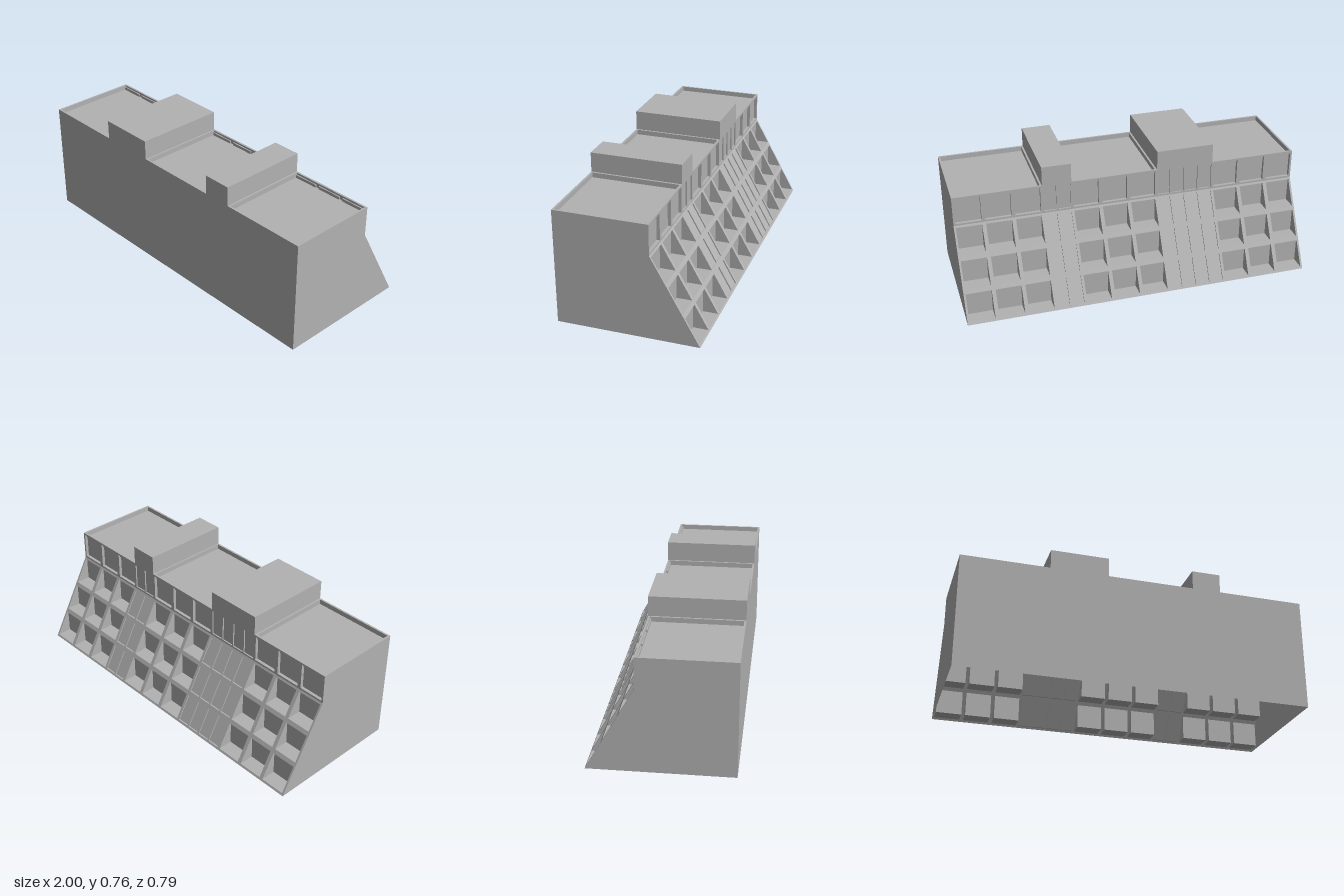
import * as THREE from 'three';

const BAY = 1 / 6;            // bay width
const FRONT = 0.395, BACK = -0.127, FOOT = -0.395;
const KNEE = 0.48, ROOF = 0.653, TOP = 0.765;
const concrete = new THREE.MeshStandardMaterial({ color: 0xb2b2b2, side: THREE.DoubleSide });
concrete.name = 'concrete grey';

// z of the rear face at height y
const rearZ = (y) => (y >= KNEE ? BACK : FOOT + (BACK - FOOT) * y / KNEE);

// Collects quads (counter-clockwise from outside) into one flat-faced mesh
class Sheets {
  constructor() { this.p = []; }
  quad(a, b, c, d) { this.p.push(...a, ...b, ...c, ...a, ...c, ...d); }
  ring(outer, inner) {
    for (let i = 0; i < 4; i++) {
      const j = (i + 1) % 4;
      this.quad(outer[i], outer[j], inner[j], inner[i]);
    }
  }
  // framed recess: frame, reveal and back panel
  recess(outer, opening, back) {
    this.ring(outer, opening);
    this.ring(opening, back);
    this.quad(...back);
  }
  mesh(name) {
    const g = new THREE.BufferGeometry();
    g.setAttribute('position', new THREE.Float32BufferAttribute(this.p, 3));
    g.computeVertexNormals();
    const m = new THREE.Mesh(g, concrete);
    m.name = name;
    return m;
  }
}

const rearLoop = (x0, x1, y0, y1, z0 = rearZ(y0), z1 = rearZ(y1)) =>
  [[x1, y0, z0], [x0, y0, z0], [x0, y1, z1], [x1, y1, z1]];
const roofLoop = (x0, x1, z0, z1, y) =>
  [[x0, y, z1], [x1, y, z1], [x1, y, z0], [x0, y, z0]];

// One recess of the rear facade; deep ones are balconies with level floors
function rearCell(sheets, x0, x1, y0, y1, margin, depth, deep) {
  const a = x0 + margin, b = x1 - margin, c = y0 + 0.011, d = y1 - 0.011;
  const backTop = rearZ(d) + depth;
  const backBottom = deep ? backTop : rearZ(c) + depth;
  sheets.recess(rearLoop(x0, x1, y0, y1), rearLoop(a, b, c, d),
    rearLoop(a, b, c, d, backBottom, backTop));
}

export function createModel() {
  const group = new THREE.Group();
  const sections = [
    { bays: 3 }, { bays: 2, tower: true }, { bays: 3 }, { bays: 1, tower: true }, { bays: 3 },
  ];
  const levels = [0, KNEE / 3, KNEE * 2 / 3, KNEE, ROOF];

  const balconies = new Sheets(), windows = new Sheets(), panels = new Sheets();
  const roofs = new Sheets(), towers = new Sheets();
  const skyline = [];
  let x = -1;
  for (const { bays, tower } of sections) {
    const x0 = x, x1 = x + bays * BAY;
    const columns = tower ? bays * 2 : bays;
    const w = (x1 - x0) / columns;
    // rear facade grid
    for (let r = 0; r < 4; r++) {
      for (let i = 0; i < columns; i++) {
        const a = x0 + i * w;
        if (tower) rearCell(panels, a, a + w, levels[r], levels[r + 1], 0.005, 0.008, false);
        else if (r < 3) rearCell(balconies, a, a + w, levels[r], levels[r + 1], 0.011, 0.008, true);
        else rearCell(windows, a, a + w, levels[r], levels[r + 1], 0.011, 0.018, false);
      }
    }
    if (tower) {
      // stair tower above the roof line
      towers.quad(...rearLoop(x0, x1, ROOF, TOP));
      towers.quad(...roofLoop(x0, x1, BACK, FRONT, TOP));
      towers.quad([x0, ROOF, BACK], [x0, ROOF, FRONT], [x0, TOP, FRONT], [x0, TOP, BACK]);
      towers.quad([x1, ROOF, FRONT], [x1, ROOF, BACK], [x1, TOP, BACK], [x1, TOP, FRONT]);
    } else {
      // sunken roof with parapet
      const t = 0.011;
      roofs.recess(roofLoop(x0, x1, BACK, FRONT, ROOF),
        roofLoop(x0 + t, x1 - t, BACK + t, FRONT - t, ROOF),
        roofLoop(x0 + t, x1 - t, BACK + t, FRONT - t, ROOF - 0.028));
    }
    const h = tower ? TOP : ROOF;
    skyline.push([x0, h], [x1, h]);
    x = x1;
  }
  group.add(balconies.mesh('balconies'), windows.mesh('upperWindows'),
    panels.mesh('stairPanels'), roofs.mesh('roofs'), towers.mesh('stairTowers'));

  // front wall follows the skyline
  const outline = [[-1, 0], ...skyline, [1, 0]].map(([a, b]) => new THREE.Vector2(a, b));
  const front = new THREE.Mesh(new THREE.ShapeGeometry(new THREE.Shape(outline)), concrete);
  front.name = 'frontWall';
  front.position.z = FRONT;
  group.add(front);

  // end walls, open underneath
  for (const side of [1, -1]) {
    const profile = [[FRONT, 0], [FOOT, 0], [BACK, KNEE], [BACK, ROOF], [FRONT, ROOF]]
      .map(([z, y]) => new THREE.Vector2(-side * z, y));
    const wall = new THREE.Mesh(new THREE.ShapeGeometry(new THREE.Shape(profile)), concrete);
    wall.name = side > 0 ? 'leftEndWall' : 'rightEndWall';
    wall.rotation.y = side * Math.PI / 2;
    wall.position.x = side;
    group.add(wall);
  }
  return group;
}
